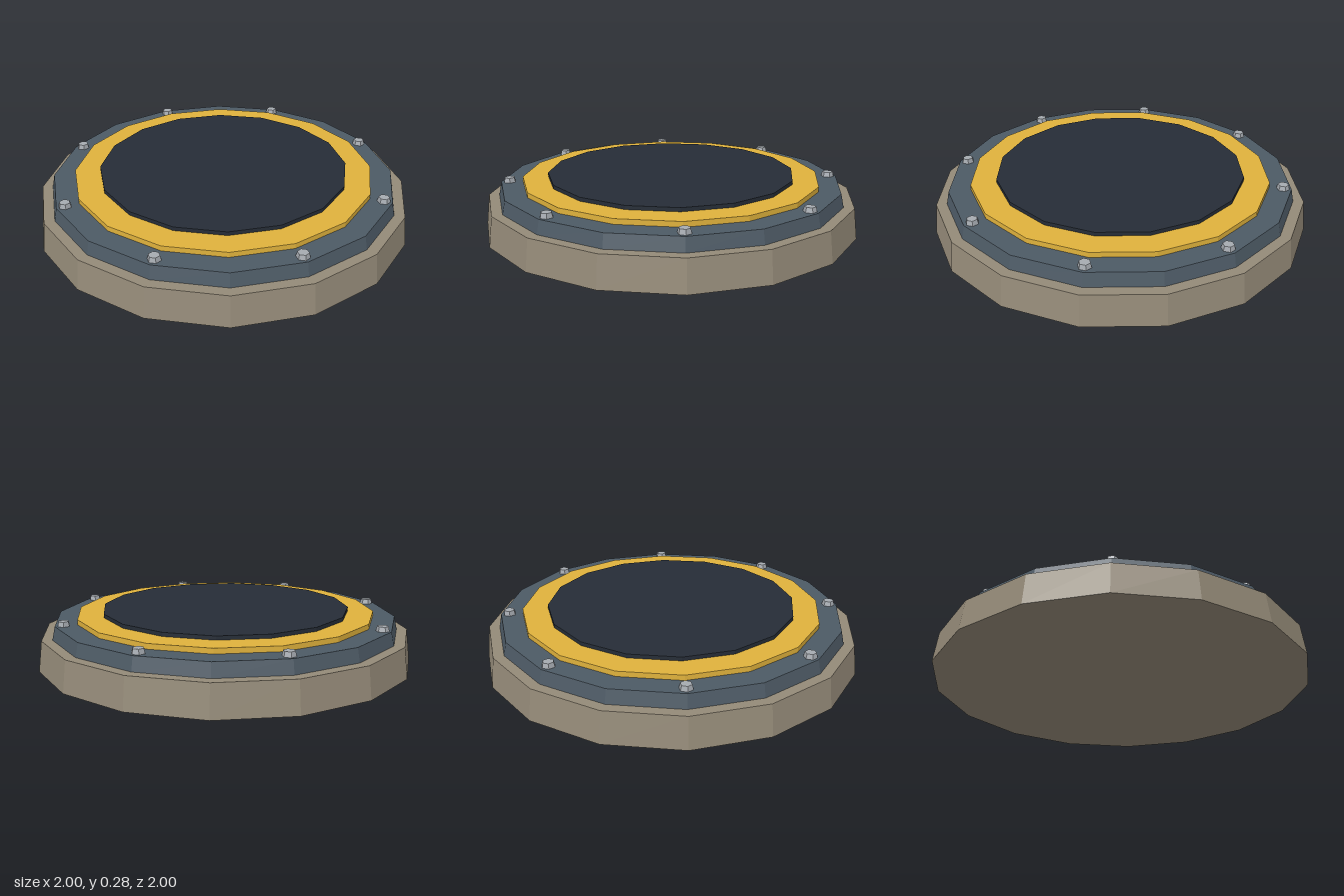
import * as THREE from 'three';

const mat = (color) => new THREE.MeshStandardMaterial({ color, flatShading: true });

// Faceted disc standing on height y0 and ending at y1
function disc(name, rBottom, rTop, y0, y1, material, sides = 16) {
  const geo = new THREE.CylinderGeometry(rTop, rBottom, y1 - y0, sides);
  geo.translate(0, (y0 + y1) / 2, 0);
  const mesh = new THREE.Mesh(geo, material);
  mesh.name = name;
  return mesh;
}

export function createModel() {
  const group = new THREE.Group();
  group.name = 'roundPlatform';

  // Stacked tiers, from the ground up
  group.add(
    disc('stoneBase', 1, 0.98, 0, 0.16, mat(0x948a78)),
    disc('metalPlate', 0.925, 0.91, 0.16, 0.23, mat(0x4d5a65)),
    disc('yellowRing', 0.795, 0.795, 0.23, 0.257, mat(0xe0b23c)),
    disc('darkPad', 0.66, 0.66, 0.257, 0.277, mat(0x262d37))
  );

  // Eight hexagonal bolts around the metal plate
  const boltMaterial = mat(0xa6abb1);
  const bolts = new THREE.Group();
  bolts.name = 'bolts';
  for (let i = 0; i < 8; i++) {
    const a = ((i + 0.5) / 8) * Math.PI * 2;
    const bolt = disc('bolt', 0.035, 0.028, 0.225, 0.255, boltMaterial, 6);
    bolt.position.set(Math.cos(a) * 0.865, 0, Math.sin(a) * 0.865);
    bolts.add(bolt);
  }
  group.add(bolts);
  return group;
}
